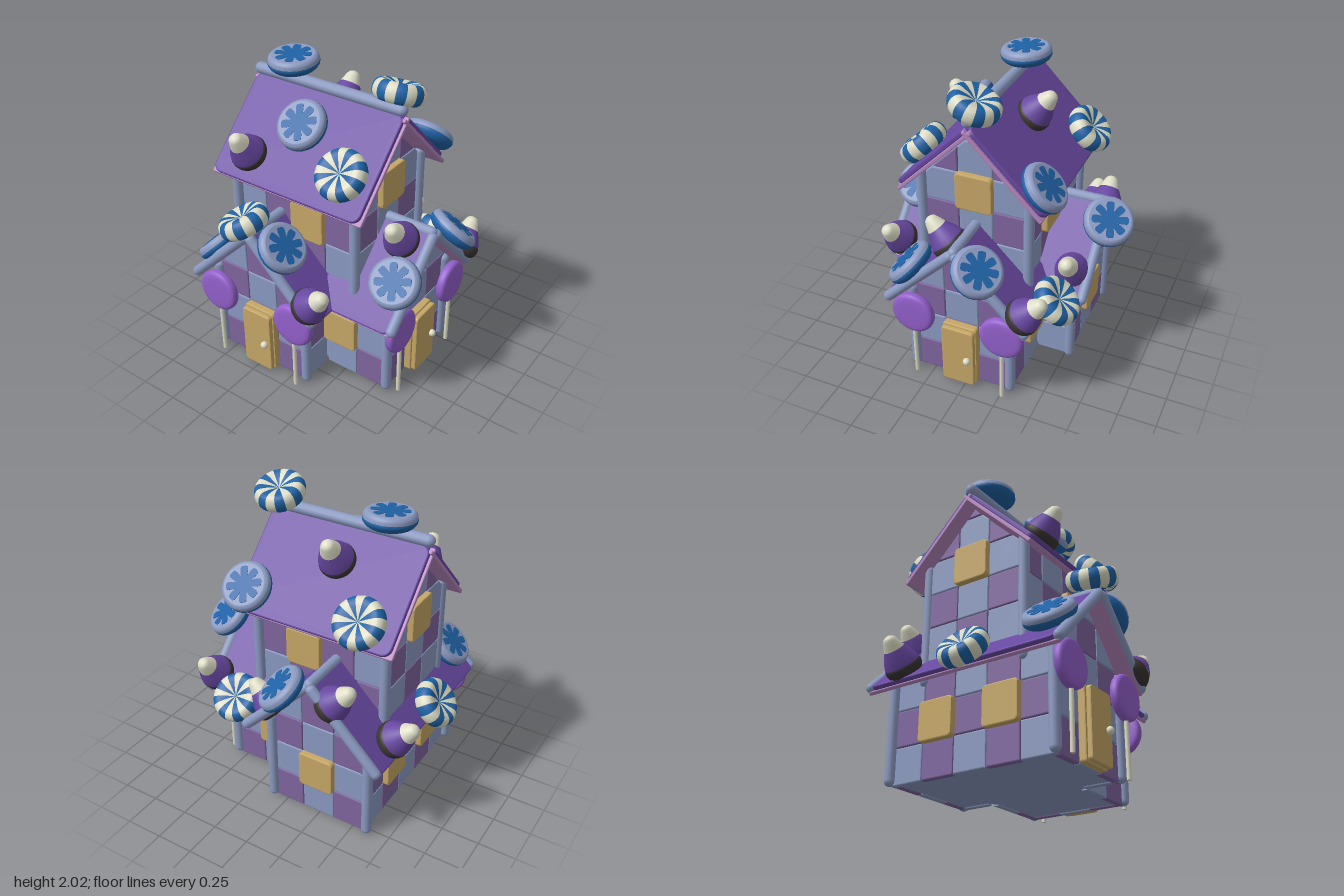
import * as THREE from 'three';
import { mergeGeometries } from 'three/addons/utils/BufferGeometryUtils.js';

const mat = (name, color) => {
  const m = new THREE.MeshStandardMaterial({ color });
  m.name = name;
  return m;
};
const V = (x, y, z) => new THREE.Vector3(x, y, z);
const P = (x, y) => new THREE.Vector2(x, y);
const UP = V(0, 1, 0);
const TILE = 0.23;

export function createModel() {
  const gold = mat('gold biscuit', 0xc6a766), blueTile = mat('periwinkle', 0x8b9ac1);
  const plum = mat('plum', 0x7f659f), roofMat = mat('roof purple', 0x6848a2);
  const pink = mat('pink icing', 0xb586bd), blue = mat('candy blue', 0x1f62a5);
  const cream = mat('cream', 0xdcdcc6), dark = mat('charcoal', 0x3a3634);
  const lolly = mat('lollipop purple', 0x9360cc);

  const root = new THREE.Group();
  root.name = 'candyHouse';
  const group = (name, x, y, z, ry = 0, parent = root) => {
    const g = new THREE.Group();
    g.name = name;
    g.position.set(x, y, z);
    g.rotation.y = ry;
    parent.add(g);
    return g;
  };
  const add = (parent, name, geo, m, x = 0, y = 0, z = 0) => {
    const mesh = new THREE.Mesh(geo, m);
    mesh.name = name;
    mesh.position.set(x, y, z);
    parent.add(mesh);
    return mesh;
  };

  // Rounded plate facing +z, back at z = 0
  const plate = (w, h, d, r, b = 0.008) => {
    const s = new THREE.Shape(), x = w / 2 - b, y = h / 2 - b;
    s.absarc(x - r, y - r, r, 0, Math.PI / 2);
    s.absarc(r - x, y - r, r, Math.PI / 2, Math.PI);
    s.absarc(r - x, r - y, r, Math.PI, Math.PI * 1.5);
    s.absarc(x - r, r - y, r, Math.PI * 1.5, Math.PI * 2);
    const g = new THREE.ExtrudeGeometry(s, { depth: d - 2 * b, bevelSize: b, bevelThickness: b, bevelSegments: 2, curveSegments: 5 });
    return g.translate(0, 0, b);
  };
  // Round-ended bar between two points
  const bar = (parent, name, a, b, r = 0.034) => {
    const d = b.clone().sub(a);
    const m = add(parent, name, new THREE.CapsuleGeometry(r, d.length() - r, 5, 12), blueTile);
    m.position.copy(a).addScaledVector(d, 0.5);
    m.quaternion.setFromUnitVectors(UP, d.normalize());
  };

  // Keep the part of a polygon where s * x + y <= top
  const clip = (pts, s, top) => {
    const out = [], f = p => s * p.x + p.y - top;
    pts.forEach((p, i) => {
      const q = pts[(i + 1) % pts.length], a = f(p), b = f(q);
      if (a <= 0) out.push(p);
      if (a * b < 0) out.push(p.clone().lerp(q, a / (a - b)));
    });
    return out;
  };
  // Chequered wall; parity 1 starts with periwinkle at the lower left
  const wall = (name, x, z, ry, cols, y0, yMax, parity, apex) => {
    const g = group(name, x, 0, z, ry), geos = [[], []], e = 0.009;
    for (let c = 0; c < cols; c++) for (let r = 0; y0 + r * TILE < yMax - 0.03; r++) {
      const a = (c - cols / 2) * TILE + e, b = a + TILE - 2 * e;
      const lo = y0 + r * TILE + e, hi = Math.min(lo + TILE - 2 * e, yMax);
      let pts = [P(a, lo), P(b, lo), P(b, hi), P(a, hi)];
      if (apex) pts = clip(clip(pts, 1, apex), -1, apex);
      if (pts.length < 3) continue;
      const geo = new THREE.ExtrudeGeometry(new THREE.Shape(pts), { depth: 0.03, bevelSize: 0.007, bevelThickness: 0.007, bevelSegments: 2 });
      geos[(c + r + parity) % 2].push(geo.translate(0, 0, -0.037));
    }
    geos.forEach((list, i) => list.length && add(g, i ? 'blueTiles' : 'plumTiles', mergeGeometries(list), i ? blueTile : plum));
    return g;
  };
  const pane = (g, u, y) => add(g, 'window', plate(0.245, 0.25, 0.05, 0.018), gold, u, y, -0.01);

  // Solid cores behind the tiles
  const core = (name, x, z, ry, w, len, y0, apex) => {
    const h = w / 2 - 0.02, s = new THREE.Shape([P(-h, y0), P(h, y0), P(h, apex - h), P(0, apex), P(-h, apex - h)]);
    const geo = new THREE.ExtrudeGeometry(s, { depth: len - 0.04, bevelEnabled: false }).translate(0, 0, 0.02 - len / 2);
    add(group(name, x, 0, z, ry), 'core', geo, blueTile);
  };
  core('longWingBody', -0.24, 0.045, 0, 0.69, 1.15, 0.01, 1.0);
  core('sideWingBody', 0.22, 0.045, Math.PI / 2, 0.69, 0.7, 0.01, 1.0);
  core('towerBody', -0.13, 0.045, Math.PI / 2, 0.69, 0.92, 0.5, 1.69);

  // Walls and windows
  const H = Math.PI / 2;
  wall('frontGableWall', -0.24, 0.62, 0, 3, 0, 1.1, 0, 1.02);
  pane(wall('backGableWall', -0.24, -0.53, Math.PI, 3, 0, 1.1, 0, 1.02), 0, 0.345);
  wall('sideGableWall', 0.57, 0.045, H, 3, 0, 1.1, 0, 1.02);
  const left = wall('leftWall', -0.59, 0.045, -H, 5, 0, 0.67, 1);
  [-TILE, TILE].forEach(u => pane(left, u, 0.345));
  pane(wall('sideWingFrontWall', 0.34, 0.39, 0, 2, 0, 0.67, 1), -TILE / 2, 0.345);
  pane(wall('sideWingBackWall', 0.34, -0.3, Math.PI, 2, 0, 0.67, 0), TILE / 2, 0.345);
  wall('frontReturnWall', 0.105, 0.505, H, 1, 0, 0.67, 1);
  wall('backReturnWall', 0.105, -0.415, H, 1, 0, 0.67, 1);
  for (const s of [1, -1]) {
    const face = wall(s > 0 ? 'towerFront' : 'towerBack', -0.13, 0.045 + 0.35 * s, s > 0 ? 0 : Math.PI, 4, 0.73, 1.37, s > 0 ? 0 : 1);
    pane(face, s * TILE / 2, 1.085);
    const gable = wall(s > 0 ? 'towerRight' : 'towerLeft', -0.13 + 0.465 * s, 0.045, s * H, 3, 0.73, 1.8, 1, 1.7);
    pane(gable, 0, 1.31);
  }

  // Corner posts
  const posts = group('cornerPosts', 0, 0, 0);
  for (const [x, z] of [[-0.6, 0.62], [0.105, 0.62], [-0.6, -0.53], [0.105, -0.53], [0.57, 0.386], [0.57, -0.29]])
    bar(posts, 'post', V(x, 0.017, z), V(x, 0.66, z));
  for (const x of [-0.58, 0.335]) for (const z of [0.41, -0.31]) bar(posts, 'towerPost', V(x, 0.6, z), V(x, 1.39, z));

  // Gabled roofs with the ridge along local x
  const roof = (name, x, z, ry, len, apex, half) => {
    const g = group(name, x, 0, z, ry), run = half * Math.SQRT2;
    for (const s of [0, Math.PI]) {
      const slope = group('slope', 0, 0, 0, s, g), tilt = group('panel', 0, apex - half / 2, half / 2, 0, slope);
      tilt.rotation.x = -Math.PI / 4;
      add(tilt, 'icingBoard', plate(len + 0.03, run + 0.01, 0.024, 0.005, 0.005), pink, 0, 0, -0.042);
      add(tilt, 'roofSheet', plate(len, run, 0.032, 0.05), roofMat, 0, 0, -0.02);
    }
  };
  roof('mainRoof', -0.115, 0.045, 0, 1.1, 1.79, 0.49);
  roof('longWingRoof', -0.24, 0.045, H, 1.34, 1.08, 0.49);
  roof('sideWingRoof', 0.395, 0.045, 0, 0.55, 1.08, 0.49);
  const ridges = group('ridges', 0, 0, 0);
  bar(ridges, 'mainRidge', V(-0.66, 1.825, 0.05), V(0.43, 1.825, 0.05), 0.038);
  bar(ridges, 'longWingRidge', V(-0.24, 1.07, -0.63), V(-0.24, 1.07, 0.72));
  bar(ridges, 'sideWingRidge', V(0.1, 1.07, 0.045), V(0.67, 1.07, 0.045));

  // Gable trim, doors and lollipops
  const entrances = [['frontEntrance', -0.24, 0.62, 0], ['sideEntrance', 0.57, 0.045, H], ['backTrim', -0.24, -0.53, Math.PI]];
  for (const [name, x, z, ry] of entrances) {
    const g = group(name, x, 0, z, ry);
    for (const s of [-1, 1]) bar(g, 'gableBar', V(s * 0.475, 0.595, 0.1), V(s * 0.01, 1.06, 0.1));
    if (name === 'backTrim') continue;
    add(g, 'doorFrame', plate(0.235, 0.455, 0.05, 0.012), gold, 0, 0.232, -0.005);
    add(g, 'door', plate(0.225, 0.44, 0.035, 0.015), gold, 0, 0.232, 0.046);
    add(g, 'knob', new THREE.SphereGeometry(0.025, 16, 10), cream, 0.07, 0.225, 0.092);
    for (const s of [-1, 1]) {
      add(g, 'lollipopStick', new THREE.CylinderGeometry(0.014, 0.014, 0.42, 10), cream, s * 0.307, 0.21, 0.072);
      const rim = new THREE.SplineCurve([P(0.001, -0.038), P(0.1, -0.036), P(0.138, -0.025), P(0.146, 0), P(0.138, 0.025), P(0.1, 0.036), P(0.001, 0.038)]);
      add(g, 'lollipop', new THREE.LatheGeometry(rim.getPoints(24), 32).rotateX(H), lolly, s * 0.307, 0.5, 0.072);
    }
  }

  // Candy geometries, each centred and facing +y
  const spline = pts => new THREE.SplineCurve(pts.map(p => P(...p))).getPoints(pts.length * 3);
  const lathe = (pts, n = 28, start = 0, arc = Math.PI * 2) => new THREE.LatheGeometry(pts, n, start, arc);
  const petals = [];
  for (let i = 0; i < 112; i++) {
    const t = i / 112 * Math.PI * 2, r = 0.118 * (1 - 0.52 * Math.abs(Math.cos(4 * t)) ** 8);
    petals.push(P(r * Math.cos(t), r * Math.sin(t)));
  }
  const flower = new THREE.ExtrudeGeometry(new THREE.Shape(petals), { depth: 0.006, bevelEnabled: false }).rotateX(-H).translate(0, 0.047, 0);
  const flowerDisc = [
    ['candyBase', lathe(spline([[0.001, -0.05], [0.11, -0.05], [0.145, -0.035], [0.163, -0.01], [0.163, 0.008]])), blue],
    ['candyRim', lathe(spline([[0.163, 0.008], [0.158, 0.032], [0.14, 0.049], [0.118, 0.05], [0.001, 0.05]])), blueTile],
    ['flower', flower, blue]];
  const ring = spline([[0.001, -0.03], [0.06, -0.05], [0.12, -0.062], [0.152, -0.04], [0.163, 0], [0.152, 0.04], [0.12, 0.062], [0.06, 0.05], [0.001, 0.025]]);
  const wedges = k => mergeGeometries(Array.from({ length: 8 }, (_, i) => lathe(ring, 3, (2 * i + k) * Math.PI / 8, Math.PI / 8)));
  const stripedDisc = [['creamStripes', wedges(0), cream], ['blueStripes', wedges(1), blue]];
  const corn = [
    ['cornBase', lathe(spline([[0.001, -0.12], [0.08, -0.12], [0.11, -0.095], [0.117, -0.06], [0.11, -0.04]])), dark],
    ['cornMiddle', lathe([P(0.112, -0.042), P(0.098, 0), P(0.065, 0.06)]), roofMat],
    ['cornTip', lathe(spline([[0.065, 0.06], [0.05, 0.1], [0.035, 0.13], [0.015, 0.142], [0.001, 0.144]])), cream]];

  // Candies on the roofs: position, then facing direction
  const scatter = (name, parts, list) => list.forEach(([x, y, z, nx, ny, nz]) => {
    const g = group(name, x, y, z);
    g.quaternion.setFromUnitVectors(UP, V(nx, ny, nz).normalize());
    parts.forEach(([n, geo, m]) => add(g, n, geo, m));
  });
  scatter('flowerCandy', flowerDisc, [
    [-0.09, 1.02, -0.68, 0.55, 0.75, -0.35], [0.34, 1.45, -0.4, 0, 1, -1], [0.7, 1.01, -0.13, 0.4, 0.75, -0.55],
    [-0.4, 1.92, 0.02, 0, 1, 0.08], [0.6, 0.86, 0.37, 0.15, 1, 1], [-0.14, 1.66, 0.28, 0, 1, 1],
    [-0.59, 0.81, 0.59, -1, 1, 0.1], [-0.05, 1.0, 0.63, 1, 1, 0.1]]);
  scatter('stripedCandy', stripedDisc, [
    [0.38, 0.68, -0.52, 0, 1, -0.9], [-0.45, 1.45, -0.41, 0, 1, -1], [0.37, 1.92, 0.02, 0, 0.93, -0.36],
    [-0.74, 0.68, 0.1, -1, 0.8, 0], [0.25, 1.52, 0.43, 0, 1, 0.95], [-0.285, 1.14, 0.695, -0.42, 0.9, 0.12]]);
  scatter('cornCandy', corn, [
    [-0.41, 0.99, -0.57, -1, 1, 0], [0.15, 0.77, -0.52, 1, 1, 0], [0.64, 0.76, -0.44, 0.05, 1, -0.9],
    [-0.74, 0.74, -0.39, -1, 0.9, 0], [-0.14, 1.7, -0.18, 0, 1, -0.8], [0.5, 1.06, 0.19, 0, 1, 0.9],
    [-0.44, 1.5, 0.48, 0, 1, 0.8], [0.23, 0.74, 0.69, 0.9, 0.9, 0.2]]);
  return root;
}
